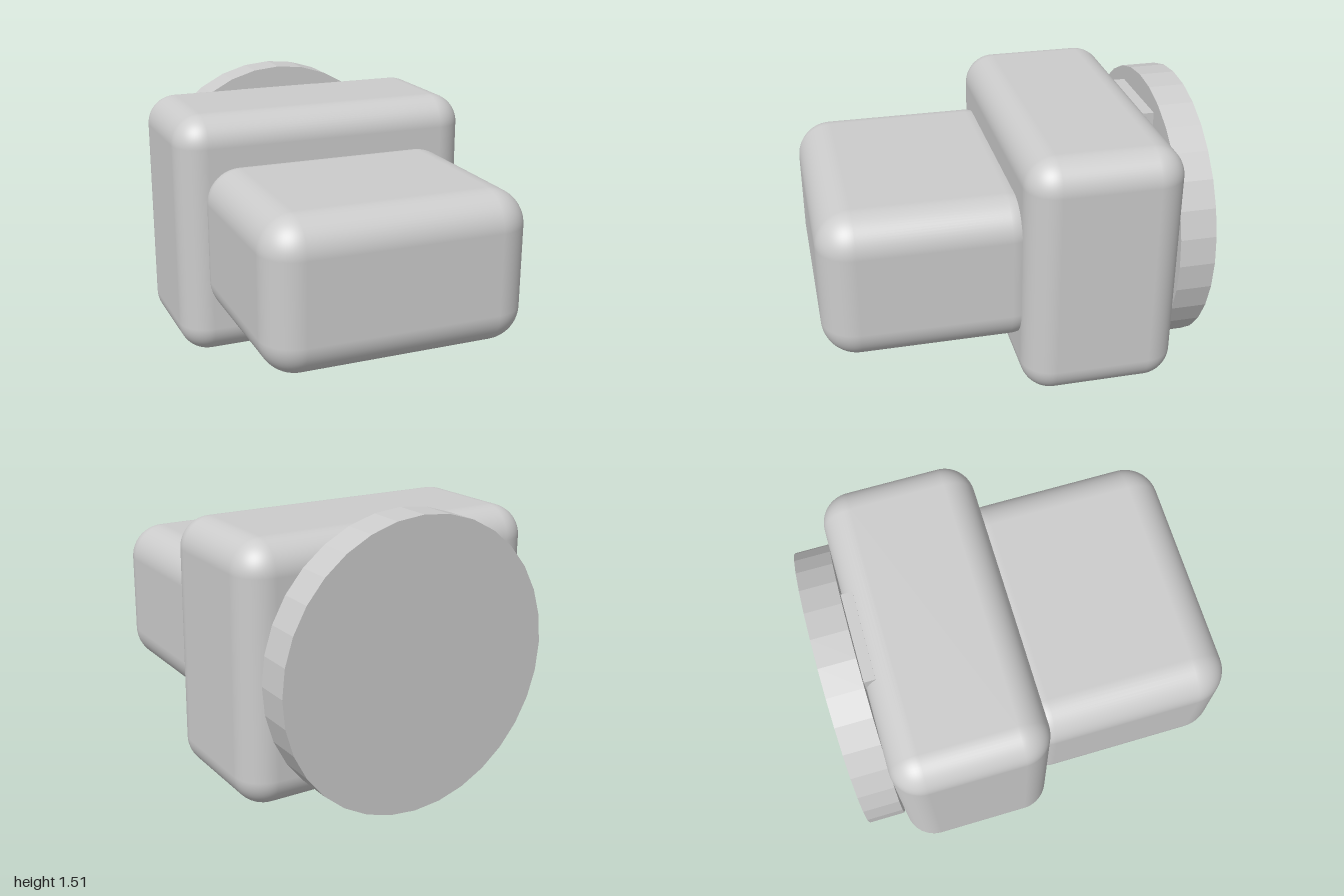
import * as THREE from 'three';
import { RoundedBoxGeometry } from 'three/addons/geometries/RoundedBoxGeometry.js';

export function createModel() {
  const group = new THREE.Group();
  const grey = new THREE.MeshStandardMaterial({ color: 0xcccccc });
  grey.name = 'light grey';

  const add = (name, geometry, x, y, z) => {
    const mesh = new THREE.Mesh(geometry, grey);
    mesh.name = name;
    mesh.position.set(x, y, z);
    group.add(mesh);
  };

  // Main rounded housing
  add('body', new RoundedBoxGeometry(1.66, 1.33, 0.81, 8, 0.16), 0, 0.755, -0.405);

  // Smaller rounded block projecting forward; its rear end sinks into the body
  add('frontBlock', new RoundedBoxGeometry(1.39, 0.8, 1.14, 8, 0.185), 0, 0.755, 0.43);

  // Faceted disc at the back
  const disc = new THREE.CylinderGeometry(0.755, 0.755, 0.19, 32).rotateX(Math.PI / 2).toNonIndexed();
  disc.computeVertexNormals();
  add('backDisc', disc, 0, 0.755, -0.905);

  // Small tab between the disc and the top of the body
  add('topTab', new THREE.BoxGeometry(0.48, 0.28, 0.1), 0, 1.25, -0.8);

  return group;
}
